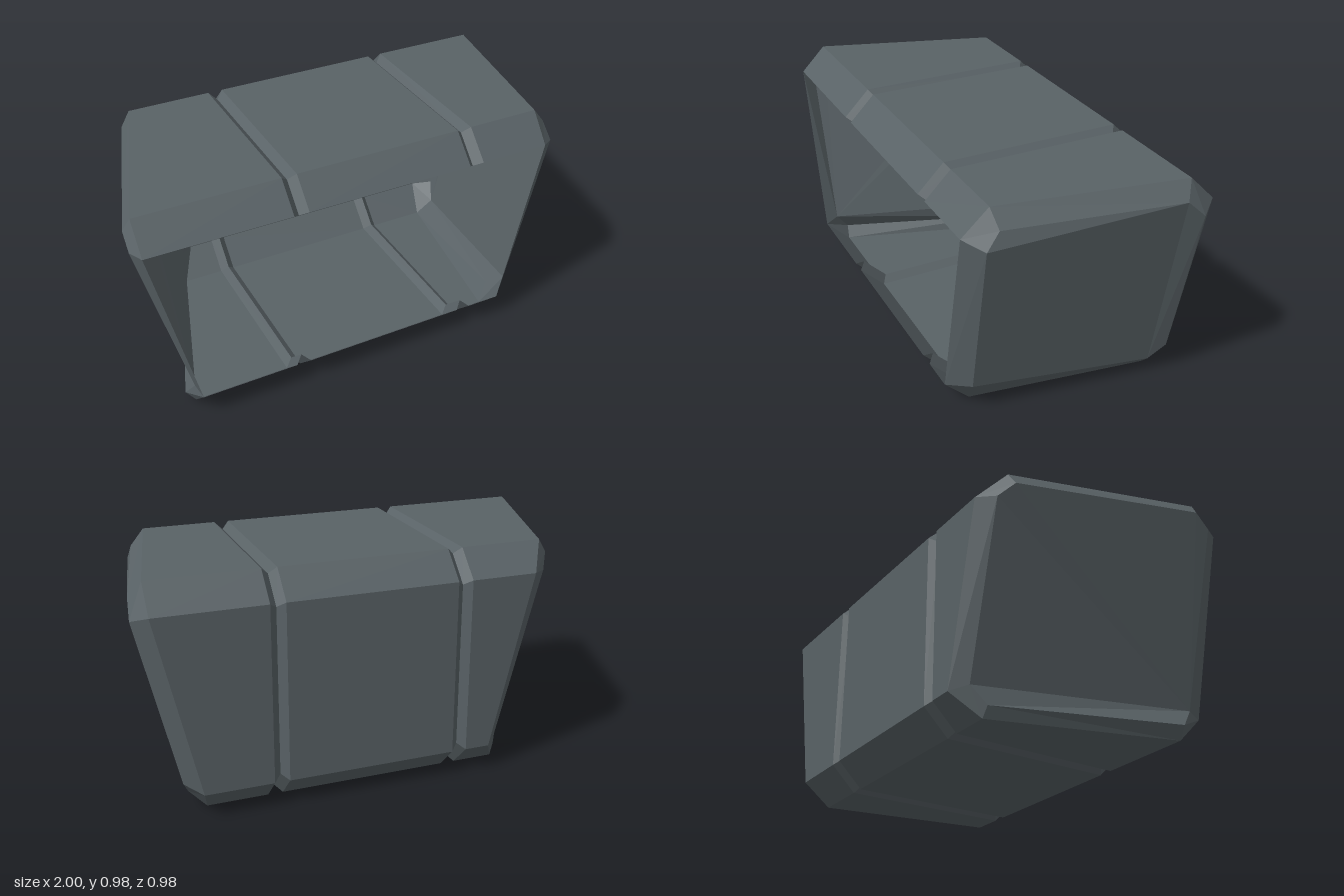
import * as THREE from 'three';

// Octagonal section as [z, y]; edge 0-1 is the open front, then over the top, down the back, under the floor.
const SECTION = [
  [0.49, 0.11], [0.49, 0.87], [0.38, 0.98], [-0.38, 0.98],
  [-0.49, 0.87], [-0.49, 0.11], [-0.38, 0], [0.38, 0],
];
// Same section pulled inwards for the bottom of each groove.
const GROOVE = SECTION.map(([z, y]) => [z * 0.94, 0.49 + (y - 0.49) * 0.94]);

const ring = (section, xs) =>
  section.map(([z, y], i) => [Array.isArray(xs) ? xs[i] : xs, y, z]);

// Flat-faced geometry from a list of convex polygons.
function polygons(faces) {
  const pos = [];
  for (const f of faces)
    for (let i = 1; i < f.length - 1; i++) pos.push(...f[0], ...f[i], ...f[i + 1]);
  const g = new THREE.BufferGeometry();
  g.setAttribute('position', new THREE.Float32BufferAttribute(pos, 3));
  g.computeVertexNormals();
  return g;
}

// Quads joining ring a (lower x) to ring b, starting at the given edge.
function band(a, b, first = 0) {
  const faces = [];
  for (let i = first; i < 8; i++) {
    const j = (i + 1) % 8;
    faces.push([a[i], b[i], b[j], a[j]]);
  }
  return faces;
}

export function createModel() {
  const group = new THREE.Group();
  const metal = new THREE.MeshStandardMaterial({ color: 0x596266, side: THREE.DoubleSide });
  metal.name = 'slate grey';
  metal.flatShading = true;
  const add = (name, faces) => {
    const m = new THREE.Mesh(polygons(faces), metal);
    m.name = name;
    group.add(m);
  };

  // Slanted ends of the three wall panels
  const rightEnd = ring(SECTION, [-0.79, -0.97, -0.97, -0.73, -0.66, -0.48, -0.55, -0.79]);
  const leftEnd = ring(SECTION, [0.63, 0.79, 0.80, 0.94, 0.94, 0.77, 0.74, 0.62]);

  // Wall panels, open at the front
  const [g1, g2, w] = [-0.34, 0.45, 0.032];
  add('rightPanel', band(rightEnd, ring(SECTION, g1 - w), 1));
  add('middlePanel', band(ring(SECTION, g1 + w), ring(SECTION, g2 - w), 1));
  add('leftPanel', band(ring(SECTION, g2 + w), leftEnd, 1));

  // V-shaped grooves between the panels
  [['rightGroove', g1], ['leftGroove', g2]].forEach(([name, x]) => {
    const bottom = ring(GROOVE, x);
    add(name, [
      ...band(ring(SECTION, x - w), bottom, 1),
      ...band(bottom, ring(SECTION, x + w), 1),
    ]);
  });

  // Right end: bevel all round, sloping cap and kicked-out lower lip
  const r = ring(
    [[0.43, 0.13], [0.43, 0.87], [0.37, 0.93], [-0.37, 0.92], [-0.43, 0.86], [-0.43, 0.13], [-0.37, 0.05], [0.37, 0.05]],
    [-0.805, -1, -1, -0.77, -0.73, -0.54, -0.57, -0.83]);
  add('rightBevel', band(r, rightEnd));
  add('rightCap', [[r[0], r[1], r[2], r[3], r[4], r[5]]]);
  add('rightLip', [[r[0], r[5], r[6], r[7]]]);

  // Left end: bevel, main cap and two narrow corner facets
  const l = ring(
    [[0.41, 0.135], [0.425, 0.84], [0.37, 0.91], [-0.34, 0.91], [-0.415, 0.84], [-0.425, 0.14], [-0.36, 0.07], [0.34, 0.07]],
    [0.72, 0.87, 0.86, 0.99, 1, 0.84, 0.81, 0.68]);
  add('leftBevel', band(leftEnd, l));
  add('leftCap', [[l[6], l[5], l[4], l[3], l[1], l[0]]]);
  add('leftTopFacet', [[l[3], l[2], l[1]]]);
  add('leftBottomFacet', [[l[0], l[7], l[6]]]);

  return group;
}
